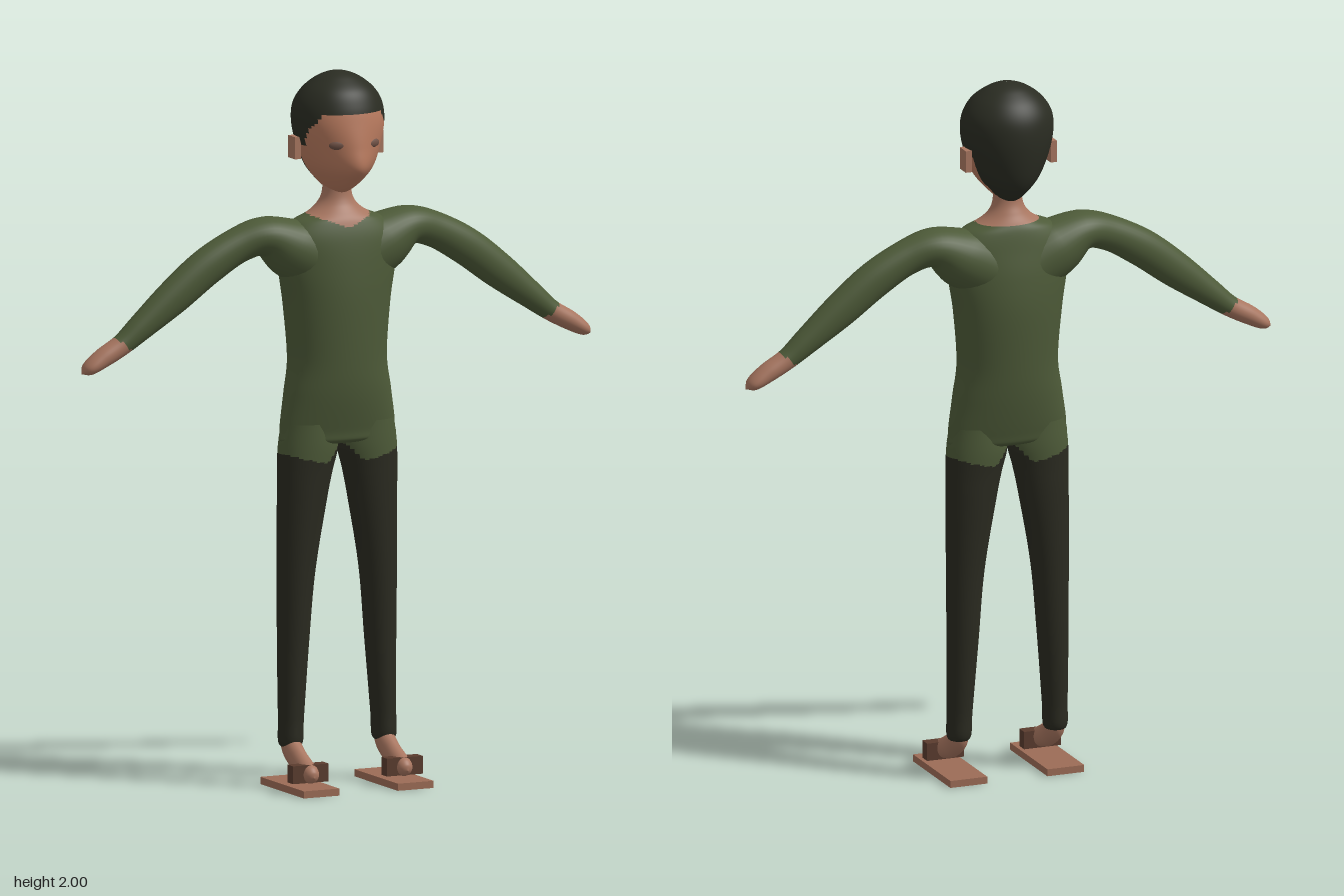
import * as THREE from 'three';

const mat = (name, color) => Object.assign(new THREE.MeshStandardMaterial({ color }), { name });
const X = new THREE.Vector3(1, 0, 0);
const Y = new THREE.Vector3(0, 1, 0);
const Z = new THREE.Vector3(0, 0, 1);

// Smooth skin through oval sections { c: centre, r: [along axis, across axis, front ridge] }.
// rule(centroid) picks the second material for a quad.
function loft(name, sections, axis, tangent, rows, cols, mats, rule = () => false) {
  const centres = new THREE.CatmullRomCurve3(sections.map(s => new THREE.Vector3(...s.c)), false, 'catmullrom');
  const radii = new THREE.CatmullRomCurve3(sections.map(s => new THREE.Vector3(...s.r)), false, 'catmullrom');
  const pts = [];
  for (let i = 0; i <= rows; i++) {
    const c = centres.getPoint(i / rows);
    const r = radii.getPoint(i / rows);
    const v = (tangent || centres.getTangent(i / rows)).clone().cross(axis).normalize();
    for (let j = 0; j < cols; j++) {
      const a = (j / cols) * Math.PI * 2;
      const across = Math.max(r.y, 0.0005) * Math.sin(a) - r.z * Math.max(0, -Math.sin(a)) ** 10;
      pts.push(c.clone().addScaledVector(axis, Math.max(r.x, 0.0005) * Math.cos(a)).addScaledVector(v, across));
    }
  }
  const faces = [[], []];
  for (let i = 0; i < rows; i++) {
    for (let j = 0; j < cols; j++) {
      const k = (j + 1) % cols;
      const q = [i * cols + j, i * cols + k, (i + 1) * cols + j, (i + 1) * cols + k];
      const mid = new THREE.Vector3();
      q.forEach(n => mid.addScaledVector(pts[n], 0.25));
      faces[rule(mid) ? 1 : 0].push(q[0], q[1], q[2], q[1], q[3], q[2]);
    }
  }
  const geo = new THREE.BufferGeometry().setFromPoints(pts);
  geo.setIndex([...faces[0], ...faces[1]]);
  geo.addGroup(0, faces[0].length, 0);
  geo.addGroup(faces[0].length, faces[1].length, 1);
  geo.computeVertexNormals();
  const mesh = new THREE.Mesh(geo, mats.length > 1 ? mats : mats[0]);
  mesh.name = name;
  return mesh;
}

// Horizontal section from its extents
const slab = (y, x0, x1, front, back, ridge = 0) => ({
  c: [(x0 + x1) / 2, y, (front + back) / 2],
  r: [Math.abs(x1 - x0) / 2, (front - back) / 2, ridge],
});

function box(name, material, x0, x1, y0, y1, z0, z1) {
  const mesh = new THREE.Mesh(new THREE.BoxGeometry(Math.abs(x1 - x0), y1 - y0, z1 - z0), material);
  mesh.position.set((x0 + x1) / 2, (y0 + y1) / 2, (z0 + z1) / 2);
  mesh.name = name;
  return mesh;
}

export function createModel() {
  const model = new THREE.Group();
  model.name = 'figure';
  const face = mat('face skin', 0xb87a5e);
  const skin = mat('body skin', 0xa87660);
  const shirt = mat('green shirt', 0x4d5a38);
  const pants = mat('dark trousers', 0x2a2a20);
  const hair = mat('dark hair', 0x2a2c22);
  const sole = mat('sandal sole', 0x9c6c56);
  const strap = mat('sandal strap', 0x5a3c2e);
  const eye = mat('eye', 0x705246);

  // Torso and neck, with a V-shaped neckline
  const torso = [
    [0.955, 0, -0.035, -0.036], [0.965, 0.16, 0.025, -0.095], [1.0, 0.174, 0.036, -0.11],
    [1.1, 0.16, 0.056, -0.13], [1.2, 0.146, 0.063, -0.14], [1.35, 0.158, 0.065, -0.147],
    [1.45, 0.174, 0.06, -0.14], [1.53, 0.178, 0.05, -0.125], [1.58, 0.14, 0.036, -0.114],
    [1.605, 0.085, 0.022, -0.104], [1.63, 0.055, 0.006, -0.09], [1.66, 0.042, -0.002, -0.078],
    [1.71, 0.04, -0.002, -0.075],
  ].map(([y, w, f, b]) => slab(y, -w, w, f, b));
  model.add(loft('torso', torso, X, Y, 96, 64, [shirt, skin],
    p => p.y > (p.z > -0.03 ? 1.565 + 0.4 * Math.abs(p.x) : 1.603)));

  // Head, with the hair cut out along a hairline that drops behind the ears
  const head = [
    [1.655, 0, -0.03, -0.031], [1.668, 0.028, 0.018, -0.085], [1.7, 0.062, 0.062, -0.122, 0.006],
    [1.74, 0.093, 0.088, -0.144, 0.02], [1.8, 0.117, 0.093, -0.157, 0.01], [1.86, 0.13, 0.092, -0.16],
    [1.91, 0.126, 0.08, -0.152], [1.95, 0.102, 0.06, -0.13], [1.98, 0.065, 0.022, -0.095],
    [1.995, 0.03, -0.008, -0.064], [2.0, 0, -0.035, -0.036],
  ].map(([y, w, f, b, n]) => slab(y, -w, w, f, b, n));
  const hairline = z => (z > 0.05 ? 1.89 : z > 0 ? 1.82 + z * 1.2 : z > -0.06 ? 1.8 : 1.66);
  model.add(loft('head', head, X, Y, 80, 72, [face, hair], p => p.y > hairline(p.z)));

  for (const s of [1, -1]) {
    const side = s > 0 ? 'left' : 'right';

    // Ear and eye
    model.add(box(side + 'Ear', skin, s * 0.118, s * 0.136, 1.76, 1.822, -0.068, -0.024));
    const eyeMesh = new THREE.Mesh(new THREE.SphereGeometry(1, 24, 12), eye);
    eyeMesh.name = side + 'Eye';
    eyeMesh.scale.set(0.027, 0.013, 0.008);
    eyeMesh.position.set(s * 0.052, 1.808, 0.078);
    eyeMesh.rotation.y = s * 0.38;
    model.add(eyeMesh);

    // Arm and hand: x, y, half height, half depth
    const arm = [
      [0.06, 1.47, 0.09, 0.085], [0.14, 1.51, 0.084, 0.083], [0.22, 1.547, 0.056, 0.067],
      [0.3, 1.53, 0.05, 0.05], [0.4, 1.475, 0.053, 0.045], [0.5, 1.4, 0.05, 0.041],
      [0.6, 1.323, 0.038, 0.035], [0.66, 1.277, 0.03, 0.031], [0.72, 1.243, 0.027, 0.031],
      [0.765, 1.215, 0.018, 0.027], [0.785, 1.203, 0, 0],
    ].map(([x, y, h, d]) => ({ c: [s * x, y, -0.044], r: [d, h, 0] }));
    model.add(loft(side + 'Arm', arm, Z, null, 80, 32, [shirt, skin],
      p => Math.abs(p.x) - 1.1 * p.y > -0.745));

    // Trouser leg, whose top carries the shirt hem
    const leg = [
      [0.115, 0.143, 0.144, -0.036, -0.037], [0.12, 0.112, 0.176, -0.003, -0.07],
      [0.2, 0.106, 0.178, 0, -0.075], [0.4, 0.09, 0.179, 0.004, -0.085],
      [0.6, 0.072, 0.18, 0.012, -0.09], [0.8, 0.037, 0.18, 0.022, -0.098],
      [0.88, 0.02, 0.18, 0.026, -0.1], [0.95, 0.003, 0.178, 0.03, -0.103], [1.02, 0.01, 0.168, 0.03, -0.1],
    ].map(([y, a, b, f, k]) => slab(y, s * a, s * b, f, k));
    model.add(loft(side + 'Leg', leg, X, Y, 120, 40, [pants, shirt], p => {
      const x = Math.abs(p.x);
      return p.y > Math.max(0.905 + 0.25 * (x - 0.05), 0.965 - x);
    }));

    // Foot: y, z, half width, half thickness
    const foot = [
      [0.16, -0.037, 0.028, 0.03], [0.115, -0.03, 0.028, 0.033], [0.085, 0.008, 0.026, 0.034],
      [0.066, 0.05, 0.026, 0.031], [0.052, 0.09, 0.024, 0.026], [0.047, 0.107, 0.015, 0.016],
      [0.045, 0.114, 0, 0],
    ].map(([y, z, w, h]) => ({ c: [s * 0.144, y, z], r: [w, h, 0] }));
    model.add(loft(side + 'Foot', foot, X, null, 48, 28, [skin]));

    // Sandal
    model.add(box(side + 'SandalSole', sole, s * 0.09, s * 0.2, 0, 0.02, -0.112, 0.16));
    model.add(box(side + 'SandalStrap', strap, s * 0.09, s * 0.2, 0.03, 0.08, 0.057, 0.093));
  }
  return model;
}
